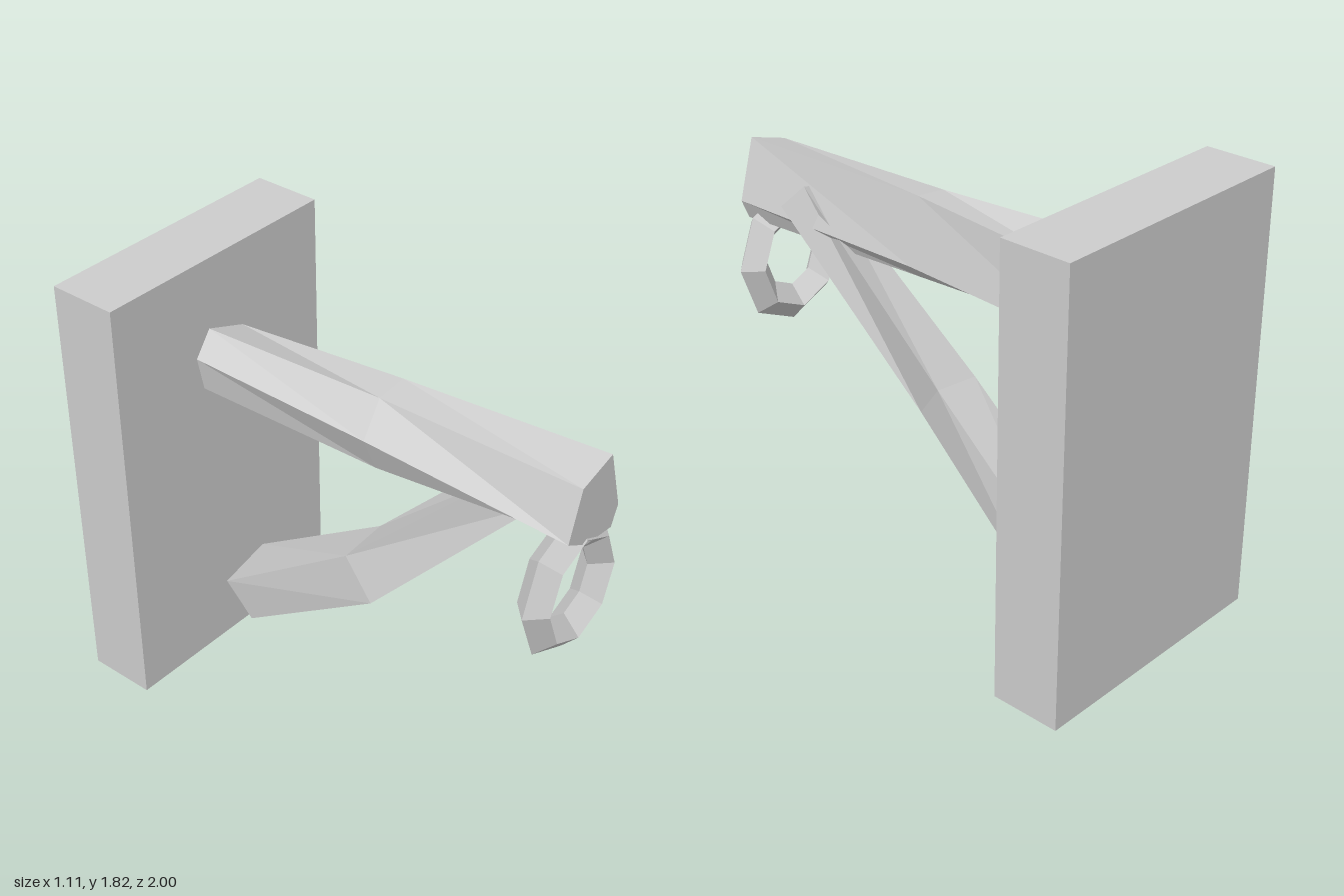
import * as THREE from 'three';

// Closed solid through a list of cross-sections; each section lists its
// corners clockwise as seen from the front, sections run front to back.
function loft(sections) {
  const n = sections[0].length;
  const pos = [];
  const tri = (a, b, c) => pos.push(...a, ...b, ...c);
  for (let s = 0; s < sections.length - 1; s++) {
    const f = sections[s], b = sections[s + 1];
    for (let i = 0; i < n; i++) {
      const j = (i + 1) % n;
      tri(f[i], f[j], b[j]);
      tri(f[i], b[j], b[i]);
    }
  }
  const first = sections[0], last = sections[sections.length - 1];
  for (let i = 1; i < n - 1; i++) {
    tri(first[0], first[i + 1], first[i]);
    tri(last[0], last[i], last[i + 1]);
  }
  const g = new THREE.BufferGeometry();
  g.setAttribute('position', new THREE.Float32BufferAttribute(pos, 3));
  g.computeVertexNormals();
  return g;
}

export function createModel() {
  const model = new THREE.Group();
  model.name = 'wallBracket';
  const grey = new THREE.MeshStandardMaterial({ color: 0xcccccc, flatShading: true });
  grey.name = 'grey';

  const add = (name, geometry, x = 0, y = 0, z = 0) => {
    const mesh = new THREE.Mesh(geometry, grey);
    mesh.name = name;
    mesh.position.set(x, y, z);
    model.add(mesh);
    return mesh;
  };

  // Wall slab
  add('backBoard', new THREE.BoxGeometry(1.11, 1.815, 0.29), 0, 0.9075, -0.855);

  // Rough six-sided beam, twisting slightly towards the wall
  const atZ = (z, pts) => pts.map(([x, y]) => [x, y, z]);
  add('beam', loft([
    atZ(0.99, [[-0.05, 1.55], [0.12, 1.6], [0.19, 1.35], [0.155, 1.27], [0, 1.285], [-0.115, 1.35]]),
    atZ(0.13, [[-0.07, 1.56], [0.065, 1.575], [0.115, 1.305], [0.06, 1.245], [-0.09, 1.265], [-0.16, 1.42]]),
    atZ(-0.65, [[-0.125, 1.57], [0.055, 1.505], [0.075, 1.24], [-0.03, 1.22], [-0.17, 1.325], [-0.2, 1.47]]),
  ]));

  // Bent four-sided brace: upper left, upper right, lower right, lower left
  add('brace', loft([
    [[0, 1.45, 0.68], [0.15, 1.49, 0.66], [0.2, 1.4, 0.74], [0.03, 1.34, 0.78]],
    [[-0.11, 0.8, 0], [0.1, 0.82, 0], [0.06, 0.66, 0.13], [-0.13, 0.65, 0.14]],
    [[-0.07, 0.29, -0.69], [0.175, 0.33, -0.708], [0.18, 0.18, -0.595], [-0.06, 0.145, -0.565]],
  ]));

  // Faceted bolts between the timbers and the wall
  for (const [name, y] of [['upperBolt', 1.41], ['lowerBolt', 0.25]]) {
    const bolt = add(name, new THREE.SphereGeometry(0.075, 7, 4), 0.01, y, -0.643);
    bolt.rotation.x = Math.PI / 2;
    bolt.scale.y = 0.75;
  }

  // Hanging ring with a diamond section
  const ring = add('ring', new THREE.TorusGeometry(0.2, 0.07, 4, 8), 0, 1.085, 0.925);
  ring.scale.y = 1.1;

  return model;
}
